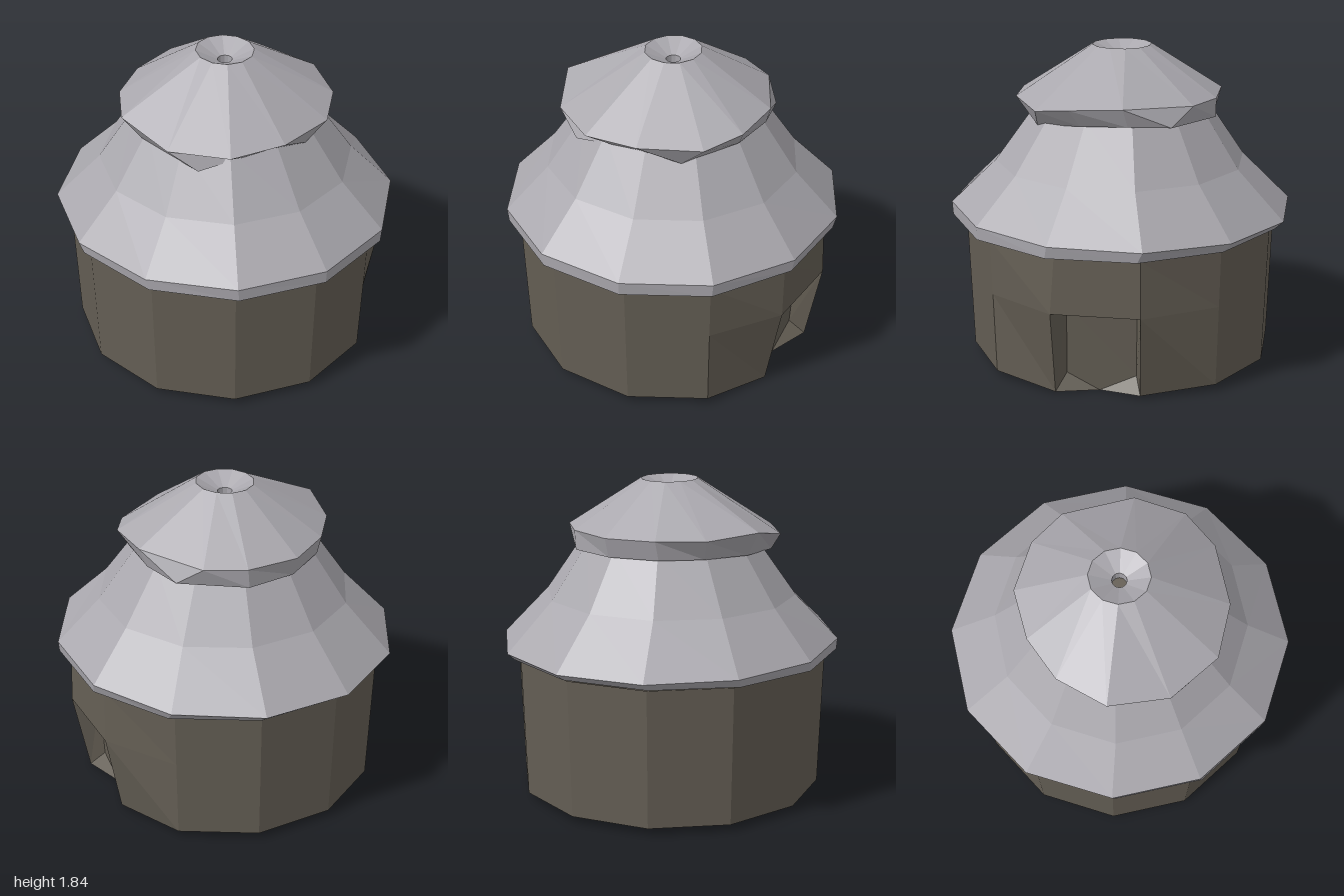
import * as THREE from 'three';

const SIDES = 12;
const roofMat = new THREE.MeshStandardMaterial({ color: 0xaaa8ae, flatShading: true, side: THREE.DoubleSide });
const wallMat = new THREE.MeshStandardMaterial({ color: 0x645e54, flatShading: true, side: THREE.DoubleSide });

// Twelve-sided ring; sx squeezes x, dz shifts it forward, tilt raises the front
function ring(r, y, { sx = 1, dz = 0, tilt = 0 } = {}) {
  return Array.from({ length: SIDES }, (_, i) => {
    const a = (i / SIDES) * Math.PI * 2;
    return [r * sx * Math.cos(a), y + tilt * Math.sin(a), r * Math.sin(a) + dz];
  });
}

const quad = (a, b, c, d) => [a, b, c, a, c, d];

// Joins rings, listed from bottom to top, with flat panels
function loft(rings, skip = () => false) {
  const out = [];
  for (let k = 0; k < rings.length - 1; k++) {
    for (let i = 0; i < SIDES; i++) {
      if (skip(k, i)) continue;
      const j = (i + 1) % SIDES;
      out.push(...quad(rings[k][i], rings[k + 1][i], rings[k + 1][j], rings[k][j]));
    }
  }
  return out;
}

function part(name, points, material) {
  const g = new THREE.BufferGeometry();
  g.setAttribute('position', new THREE.Float32BufferAttribute(points.flat(), 3));
  g.computeVertexNormals();
  const mesh = new THREE.Mesh(g, material);
  mesh.name = name;
  return mesh;
}

export function createModel() {
  const model = new THREE.Group();
  model.name = 'roundHut';

  // Walls: tapered drum with one lower panel left out for the doorway
  const base = ring(0.885, 0.04);
  const middle = ring(0.9, 0.51);
  base[0] = [0.83, 0.02, -0.01];
  base[1] = [0.7, 0.01, 0.45];
  middle[0] = [0.92, 0.51, 0];
  middle[1] = [0.79, 0.51, 0.48];
  const top = ring(0.91, 0.835);
  model.add(part('wall', loft([base, middle, top], (k, i) => k === 0 && i === 0), wallMat));

  // Doorway: recessed panel, jambs, lintel and worn sill
  const [a0, a1, t0, t1] = [base[0], base[1], middle[0], middle[1]];
  const notch = [0.68, 0, 0.2];
  const p0 = [0.735, 0.1, 0], p1 = [0.64, 0.1, 0.38];
  const q0 = [0.76, 0.51, 0], q1 = [0.66, 0.51, 0.38];
  model.add(part('doorPanel', quad(p0, q0, q1, p1), wallMat));
  model.add(part('doorFrame', [
    ...quad(t0, q0, p0, a0),
    ...quad(a1, p1, q1, t1),
    ...quad(t0, t1, q1, q0),
  ], wallMat));
  model.add(part('doorSill', [a0, p0, notch, p0, p1, notch, p1, a1, notch], wallMat));

  // Floor: fan that follows the wall foot and the sill
  const outline = [base[0], notch, ...base.slice(1)];
  const floor = outline.flatMap((p, i) => [[0, 0.04, 0], p, outline[(i + 1) % outline.length]]);
  model.add(part('floor', floor, wallMat));

  // Main roof: soffit, thick eave and two slopes
  model.add(part('roof', loft([
    ring(0.84, 0.825),
    ring(0.965, 0.848, { dz: 0.025 }),
    ring(0.995, 0.907, { sx: 0.985, tilt: 0.018 }),
    ring(0.725, 1.17, { sx: 1.01, dz: 0.01 }),
    ring(0.5, 1.49, { sx: 1.02 }),
  ]), roofMat));

  // Roof cap: uneven drooping brim under a cone with a sunken smoke hole
  const brimLow = [
    [0.55, 1.48, 0.03], [0.46, 1.47, 0.28], [0.2, 1.42, 0.5], [-0.02, 1.46, 0.5],
    [-0.2, 1.45, 0.47], [-0.44, 1.41, 0.4], [-0.55, 1.45, 0], [-0.46, 1.46, -0.28],
    [-0.28, 1.46, -0.46], [0, 1.46, -0.55], [0.28, 1.46, -0.5], [0.55, 1.47, -0.21],
  ];
  const brimHigh = [
    [0.58, 1.585, 0.06], [0.5, 1.57, 0.35], [0.33, 1.53, 0.52], [-0.02, 1.54, 0.61],
    [-0.33, 1.53, 0.55], [-0.57, 1.53, 0.3], [-0.65, 1.595, -0.04], [-0.5, 1.57, -0.32],
    [-0.28, 1.57, -0.49], [0, 1.57, -0.58], [0.29, 1.57, -0.5], [0.47, 1.57, -0.34],
  ];
  model.add(part('roofCap', loft([
    ring(0.44, 1.48),
    brimLow,
    brimHigh,
    ring(0.17, 1.835, { sx: 0.95 }),
    ring(0.042, 1.775),
    ring(0.042, 1.7),
  ]), roofMat));

  // Dark bottom of the smoke hole
  const hole = new THREE.Mesh(new THREE.CircleGeometry(0.045, SIDES), wallMat);
  hole.name = 'smokeHole';
  hole.rotation.x = -Math.PI / 2;
  hole.position.y = 1.71;
  model.add(hole);

  return model;
}
